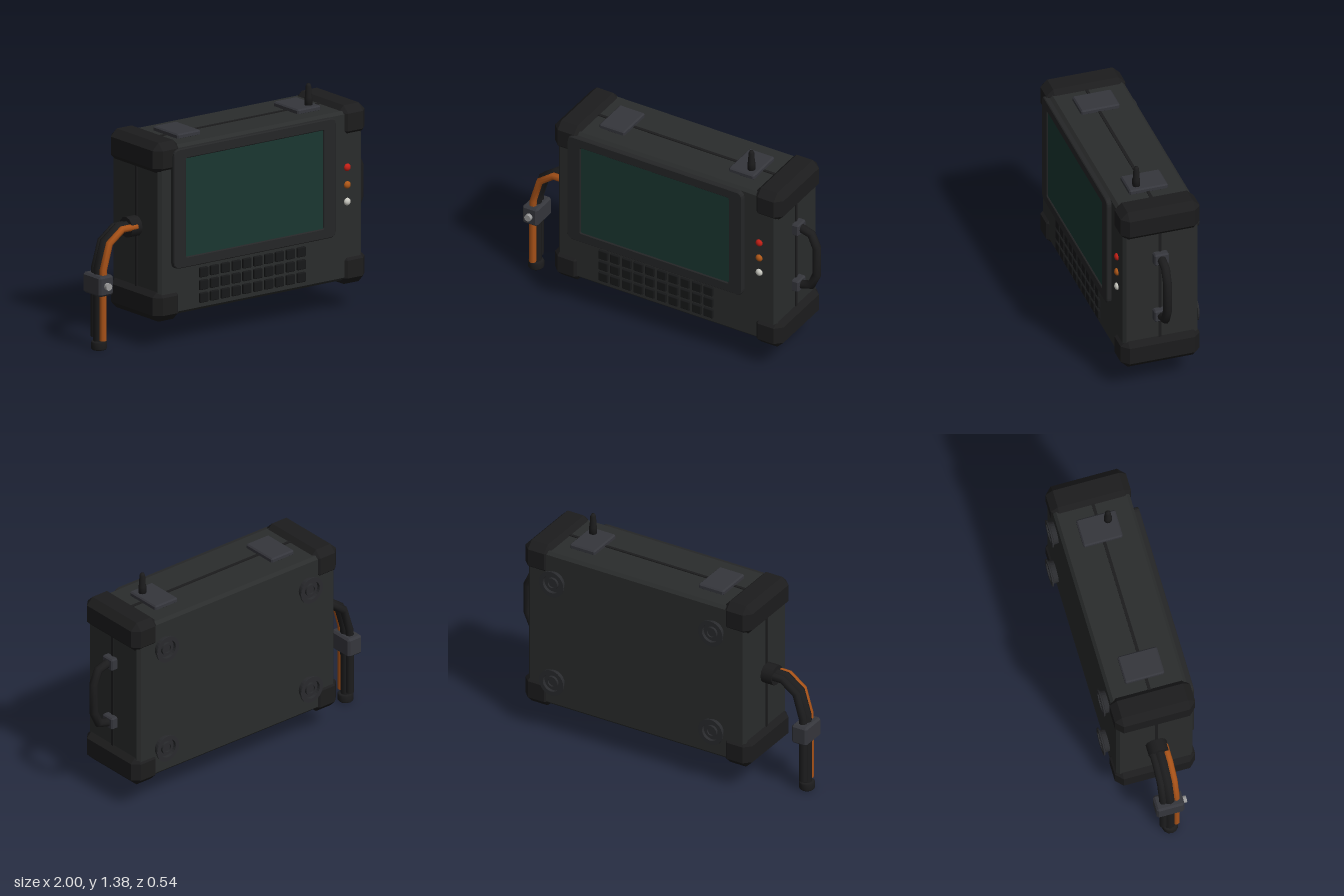
import * as THREE from 'three';
import { ConvexGeometry } from 'three/addons/geometries/ConvexGeometry.js';
import { RoundedBoxGeometry } from 'three/addons/geometries/RoundedBoxGeometry.js';

const mat = (color) => new THREE.MeshStandardMaterial({ color });

export function createModel() {
  const model = new THREE.Group();
  const shell = mat(0x2a2c2c), rubber = mat(0x1c1c1d), bezelMat = mat(0x252627), keyMat = mat(0x171819);
  const metal = mat(0x35363c), orange = mat(0xa85218), glass = mat(0x1a3631), steel = mat(0x9a9a9a);

  function add(name, geometry, material, x = 0, y = 0, z = 0, parent = model) {
    const mesh = new THREE.Mesh(geometry, material);
    mesh.name = name;
    mesh.position.set(x, y, z);
    parent.add(mesh);
    return mesh;
  }

  // box with every edge cut at 45 degrees
  function chamferBox(w, h, d, c) {
    const points = [];
    for (const sx of [-1, 1]) for (const sy of [-1, 1]) for (const sz of [-1, 1]) {
      const [x, y, z] = [w / 2, h / 2, d / 2];
      points.push(new THREE.Vector3(sx * x, sy * (y - c), sz * (z - c)));
      points.push(new THREE.Vector3(sx * (x - c), sy * y, sz * (z - c)));
      points.push(new THREE.Vector3(sx * (x - c), sy * (y - c), sz * z));
    }
    return new ConvexGeometry(points);
  }

  // rounded rectangle outline
  function roundedRect(shape, x0, y0, x1, y1, r) {
    shape.moveTo(x0 + r, y0);
    shape.lineTo(x1 - r, y0);
    shape.quadraticCurveTo(x1, y0, x1, y0 + r);
    shape.lineTo(x1, y1 - r);
    shape.quadraticCurveTo(x1, y1, x1 - r, y1);
    shape.lineTo(x0 + r, y1);
    shape.quadraticCurveTo(x0, y1, x0, y1 - r);
    shape.lineTo(x0, y0 + r);
    shape.quadraticCurveTo(x0, y0, x0 + r, y0);
    return shape;
  }

  // tube with one ring at each path point, so bends stay angular
  function bentTube(points, z, radius, sides) {
    const curve = new THREE.CatmullRomCurve3(points.map(([x, y]) => new THREE.Vector3(x, y, z)));
    curve.getPointAt = curve.getPoint;
    curve.getTangentAt = curve.getTangent;
    return new THREE.TubeGeometry(curve, points.length - 1, radius, sides);
  }

  // case and the gasket around its middle
  add('case', chamferBox(1.5, 1.03, 0.465, 0.018), shell, 0.08, 0.705, 0.0075);
  add('gasket', new THREE.BoxGeometry(1.51, 1.04, 0.018), rubber, 0.08, 0.705, 0.015);

  // corner guards
  for (const x of [-0.603, 0.765]) for (const y of [0.257, 1.152])
    add('cornerGuard', chamferBox(0.196, 0.194, 0.49, 0.043), rubber, x, y, 0.01);

  // screen frame with an opening, and the recessed screen
  const frame = roundedRect(new THREE.Shape(), -0.58, 0.481, 0.607, 1.198, 0.035);
  frame.holes.push(roundedRect(new THREE.Path(), -0.5, 0.535, 0.525, 1.145, 0.015));
  add('screenFrame', new THREE.ExtrudeGeometry(frame, {
    depth: 0.035, bevelThickness: 0.005, bevelSize: 0.005, bevelSegments: 1, curveSegments: 4,
  }), bezelMat, 0, 0, 0.23);
  add('screen', new THREE.BoxGeometry(1.03, 0.62, 0.03), glass, 0.0125, 0.84, 0.247);

  // keypad
  const keypad = new THREE.Group();
  keypad.name = 'keypad';
  model.add(keypad);
  const keyGeometry = new RoundedBoxGeometry(0.062, 0.06, 0.03, 1, 0.006);
  for (let row = 0; row < 3; row++) for (let col = 0; col < 10; col++)
    add('key', keyGeometry, keyMat, -0.35 + col * 0.08, 0.42 - row * 0.0775, 0.24, keypad);

  // indicator lights
  [[0.877, 0xc41f16], [0.77, 0xb05818], [0.668, 0xc8c8c0]].forEach(([y, color]) => {
    const light = add('indicatorLight', new THREE.SphereGeometry(0.023, 14, 10), mat(color), 0.714, y, 0.24);
    light.scale.z = 0.8;
  });

  // plates on the top and bottom
  for (const x of [-0.365, 0.522]) {
    add('topPlate', chamferBox(0.172, 0.034, 0.24, 0.008), metal, x, 1.23, 0.008);
    add('bottomPlate', chamferBox(0.172, 0.034, 0.24, 0.008), metal, x, 0.2, 0.008);
  }

  // antenna
  const antennaProfile = [[0, 0], [0.024, 0], [0.024, 0.05], [0.021, 0.055], [0.017, 0.12], [0.011, 0.135], [0, 0.137]];
  add('antenna', new THREE.LatheGeometry(antennaProfile.map(([r, y]) => new THREE.Vector2(r, y)), 12),
    rubber, 0.558, 1.24, 0.07);

  // side handle
  for (const y of [0.904, 0.508])
    add('handleMount', chamferBox(0.06, 0.077, 0.09, 0.008), metal, 0.842, y, 0.016);
  add('handle', bentTube([[0.84, 0.904], [0.87, 0.904], [0.936, 0.885], [0.973, 0.8],
    [0.973, 0.612], [0.936, 0.527], [0.87, 0.508], [0.84, 0.508]], 0.016, 0.027, 10), rubber);

  // ringed feet on the back
  const footProfile = [[0, 0.028], [0.026, 0.028], [0.026, 0.038], [0.038, 0.038], [0.038, 0.022],
    [0.058, 0.022], [0.058, 0.043], [0.084, 0.043], [0.084, 0.034], [0.07, 0.03], [0.067, 0]];
  const footGeometry = new THREE.LatheGeometry(
    footProfile.map(([r, y]) => new THREE.Vector2(r, y)).reverse(), 24);
  const footMaterial = new THREE.MeshStandardMaterial({ color: 0x292a2d, flatShading: true, side: THREE.DoubleSide });
  for (const x of [-0.457, 0.64]) for (const y of [0.37, 1.038]) {
    const foot = add('backFoot', footGeometry, footMaterial, x, y, -0.224);
    foot.rotation.x = -Math.PI / 2;
  }

  // cable socket on the right side
  const socket = add('cableSocket', new THREE.CylinderGeometry(0.063, 0.063, 0.1, 12), rubber, -0.695, 0.706, 0.012);
  socket.rotation.z = Math.PI / 2;

  // bundle of three bent cables
  const bend = [[-0.7, 0.712], [-0.805, 0.712], [-0.9, 0.642], [-0.945, 0.49]];
  const cables = [['mainCable', 0.015, 0.033, 0.03, rubber], ['orangeCable', 0.056, 0.022, 0.06, orange],
    ['backCable', -0.022, 0.025, 0.07, rubber]];
  for (const [name, z, radius, end, material] of cables) {
    add(name, bentTube([...bend, [-0.948, 0.3], [-0.948, end]], z, radius, 8), material);
    const cap = add(name + 'End', new THREE.CircleGeometry(radius, 8), material, -0.948, end, z);
    cap.rotation.x = Math.PI / 2;
  }
  add('cableTip', new THREE.LatheGeometry([[0, 0], [0.042, 0], [0.048, 0.008], [0.048, 0.044], [0.042, 0.052], [0, 0.052]]
    .map(([r, y]) => new THREE.Vector2(r, y)), 12), rubber, -0.948, 0, 0.018);

  // cable clamp and its screw
  add('cableClamp', chamferBox(0.104, 0.123, 0.17, 0.012), metal, -0.948, 0.398, 0.01);
  const screw = add('clampScrew', new THREE.CylinderGeometry(0.022, 0.022, 0.04, 12), steel, -0.948, 0.398, 0.098);
  screw.rotation.x = Math.PI / 2;

  return model;
}
